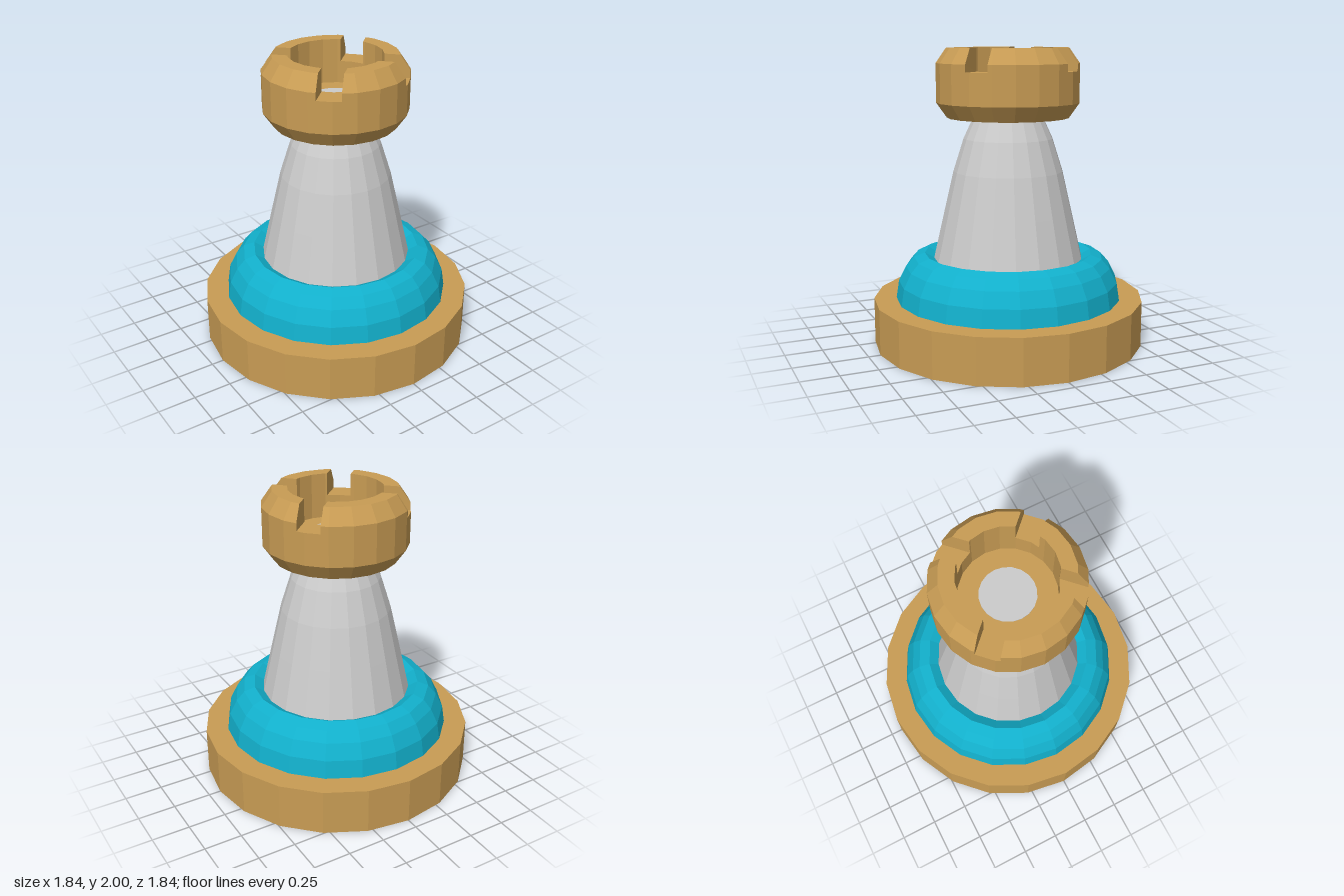
import * as THREE from 'three';

const SIDES = 20;
const STEP = (Math.PI * 2) / SIDES;
const mat = (color) => new THREE.MeshStandardMaterial({ color, flatShading: true });

// Turned part from [radius, y] pairs, listed from bottom to top
function turned(name, profile, material) {
  const points = profile.map(([r, y]) => new THREE.Vector2(r, y));
  const mesh = new THREE.Mesh(new THREE.LatheGeometry(points, SIDES), material);
  mesh.name = name;
  return mesh;
}

// Point on a 20-sided ring of corner radius r, at angle a (from +x towards +z)
function ringPoint(r, a, y) {
  const within = a - Math.floor(a / STEP) * STEP - STEP / 2;
  const d = (r * Math.cos(STEP / 2)) / Math.cos(within);
  return [d * Math.cos(a), y, d * Math.sin(a)];
}

// Battlement block: a section swept round the ring between two straight slot walls
function merlon(section, startAt, endAt) {
  const radii = section.map(([r]) => r);
  const first = Math.floor(Math.min(...radii.map(startAt)) / STEP);
  const last = Math.ceil(Math.max(...radii.map(endAt)) / STEP);
  const n = section.length;
  const positions = [];
  const index = [];
  for (let k = first; k <= last; k++) {
    for (const [r, y] of section) {
      const a = Math.min(Math.max(k * STEP, startAt(r)), endAt(r));
      positions.push(...ringPoint(r, a, y));
    }
  }
  const rows = last - first;
  for (let k = 0; k < rows; k++) {
    for (let j = 0; j < n; j++) {
      const a = k * n + j;
      const b = k * n + ((j + 1) % n);
      index.push(a, b, b + n, a, b + n, a + n);
    }
  }
  // Flat slot walls at both ends
  const end = rows * n;
  for (let j = 1; j < n - 1; j++) {
    index.push(0, j + 1, j, end, end + j, end + j + 1);
  }
  const geometry = new THREE.BufferGeometry();
  geometry.setAttribute('position', new THREE.Float32BufferAttribute(positions, 3));
  geometry.setIndex(index);
  geometry.computeVertexNormals();
  return geometry;
}

export function createModel() {
  const model = new THREE.Group();
  model.name = 'rookPiece';
  const wood = mat(0xc89c54);
  const teal = mat(0x12b0cc);
  const grey = mat(0xcccccc);

  // Wide foot
  model.add(turned('base', [[0, 0], [0.92, 0], [0.92, 0.31], [0, 0.31]], wood));

  // Rounded collar with a shallow dip round the body
  model.add(turned('collar', [
    [0.77, 0.3], [0.75, 0.43], [0.7, 0.53], [0.645, 0.592], [0.57, 0.62], [0.49, 0.575], [0, 0.575],
  ], teal));

  // Tapered body, its end showing in the crown floor
  model.add(turned('body', [
    [0.515, 0.55], [0.435, 0.9], [0.37, 1.18], [0.3, 1.4], [0.235, 1.54], [0.18, 1.66], [0.18, 1.705], [0, 1.705],
  ], grey));

  // Crown cup up to the floor of the slots
  const crown = new THREE.Group();
  crown.name = 'crown';
  crown.add(turned('crownCup', [
    [0, 1.54], [0.41, 1.54], [0.48, 1.64], [0.48, 1.85], [0.31, 1.85], [0.31, 1.7], [0, 1.7],
  ], wood));

  // Four battlements, parted by two slightly off-centre diagonal slots
  const half = 0.078;
  const offsets = [0.028, -0.052, -0.028, 0.052];
  const section = [[0.31, 1.85], [0.48, 1.85], [0.48, 1.9], [0.41, 2], [0.31, 2]];
  const slotAngle = (i) => Math.PI / 4 + (i * Math.PI) / 2;
  for (let i = 0; i < 4; i++) {
    const startAt = (r) => slotAngle(i) + Math.asin((offsets[i] + half) / r);
    const endAt = (r) => slotAngle(i + 1) + Math.asin((offsets[(i + 1) % 4] - half) / r);
    const block = new THREE.Mesh(merlon(section, startAt, endAt), wood);
    block.name = `battlement${i + 1}`;
    crown.add(block);
  }
  model.add(crown);
  return model;
}
